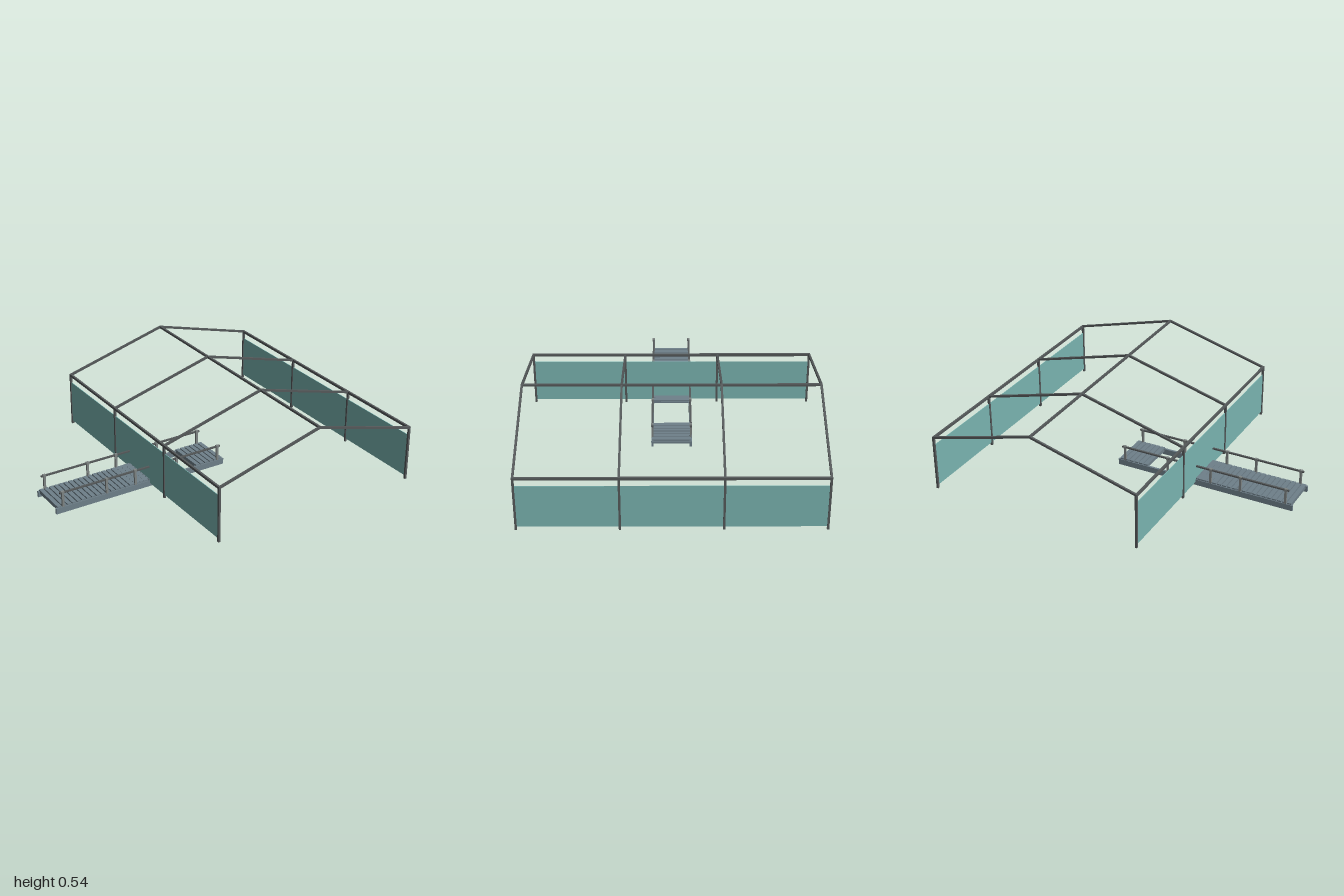
import * as THREE from 'three';

const mat = (name, color) => Object.assign(new THREE.MeshStandardMaterial({ color }), { name });

export function createModel() {
  const model = new THREE.Group();
  const steel = mat('dark steel', 0x55595a);
  const postGrey = mat('post grey', 0x7e8483);
  const deckGrey = mat('deck blue grey', 0x6f808a);
  const teal = mat('teal panel', 0x7ab5b1);

  // box given by its minimum and maximum corners
  const box = (name, material, a, b, parent) => {
    const mesh = new THREE.Mesh(new THREE.BoxGeometry(b[0] - a[0], b[1] - a[1], b[2] - a[2]), material);
    mesh.position.set((a[0] + b[0]) / 2, (a[1] + b[1]) / 2, (a[2] + b[2]) / 2);
    mesh.name = name;
    parent.add(mesh);
    return mesh;
  };

  // portal frames: two columns and two sloping rafters each
  const T = 0.013, H = T / 2;
  const xR = -0.368, xL = 0.992, xMid = (xR + xL) / 2, eave = 0.348, ridge = 0.534;
  const shed = new THREE.Group();
  shed.name = 'shedFrame';
  model.add(shed);
  for (const z of [-0.875, -0.292, 0.292, 0.875]) {
    for (const x of [xR, xL]) {
      box('column', steel, [x - H, 0, z - H], [x + H, eave + H, z + H], shed);
      const dx = xMid - x, dy = ridge - eave;
      const rafter = new THREE.Mesh(new THREE.BoxGeometry(Math.hypot(dx, dy), T, T), steel);
      rafter.position.set((x + xMid) / 2, (eave + ridge) / 2, z);
      rafter.rotation.z = Math.atan(dy / dx);
      rafter.name = 'rafter';
      shed.add(rafter);
    }
  }

  // ridge beam, eave beams and side wall panels
  box('ridgeBeam', steel, [xMid - H, ridge - H, -0.88], [xMid + H, ridge + H, 0.88], shed);
  for (const x of [xR, xL]) {
    box('eaveBeam', steel, [x - H, eave - 0.009, -0.88], [x + H, eave + H, 0.88], shed);
    box('wallPanel', teal, [x - 0.002, 0.02, -0.873], [x + 0.002, 0.297, 0.873], shed);
  }

  // walkway side beams, handrails and rail posts
  const walkway = new THREE.Group();
  walkway.name = 'walkway';
  model.add(walkway);
  for (const z of [-0.118, 0.118]) {
    box('sideBeam', deckGrey, [-1, 0, z - 0.007], [0.16, 0.037, z + 0.007], walkway);
    box('handrail', steel, [-0.972, 0.125, z - 0.006], [0.136, 0.134, z + 0.006], walkway);
    for (const x of [-0.952, -0.662, -0.467, -0.178, 0.117]) {
      box('railPost', postGrey, [x - 0.007, 0.03, z - 0.006], [x + 0.007, 0.125, z + 0.006], walkway);
      box('postCap', postGrey, [x - 0.009, 0.122, z - 0.008], [x + 0.009, 0.138, z + 0.008], walkway);
    }
  }

  // deck: base plates with raised boards, leaving the middle open
  for (const [from, to] of [[-0.99, -0.31], [-0.038, 0.158]]) {
    box('deckBase', deckGrey, [from, 0.022, -0.112], [to, 0.035, 0.112], walkway);
    const count = Math.round((to - from) / 0.033);
    const pitch = (to - from) / count;
    for (let i = 0; i < count; i++) {
      const x = from + i * pitch;
      const gap = x > -0.53 && x < -0.31 ? 0.001 : 0.007; // boards close up on the landing
      box('deckBoard', deckGrey, [x, 0.034, -0.12], [x + pitch - gap, 0.046, 0.12], walkway);
    }
  }
  return model;
}
